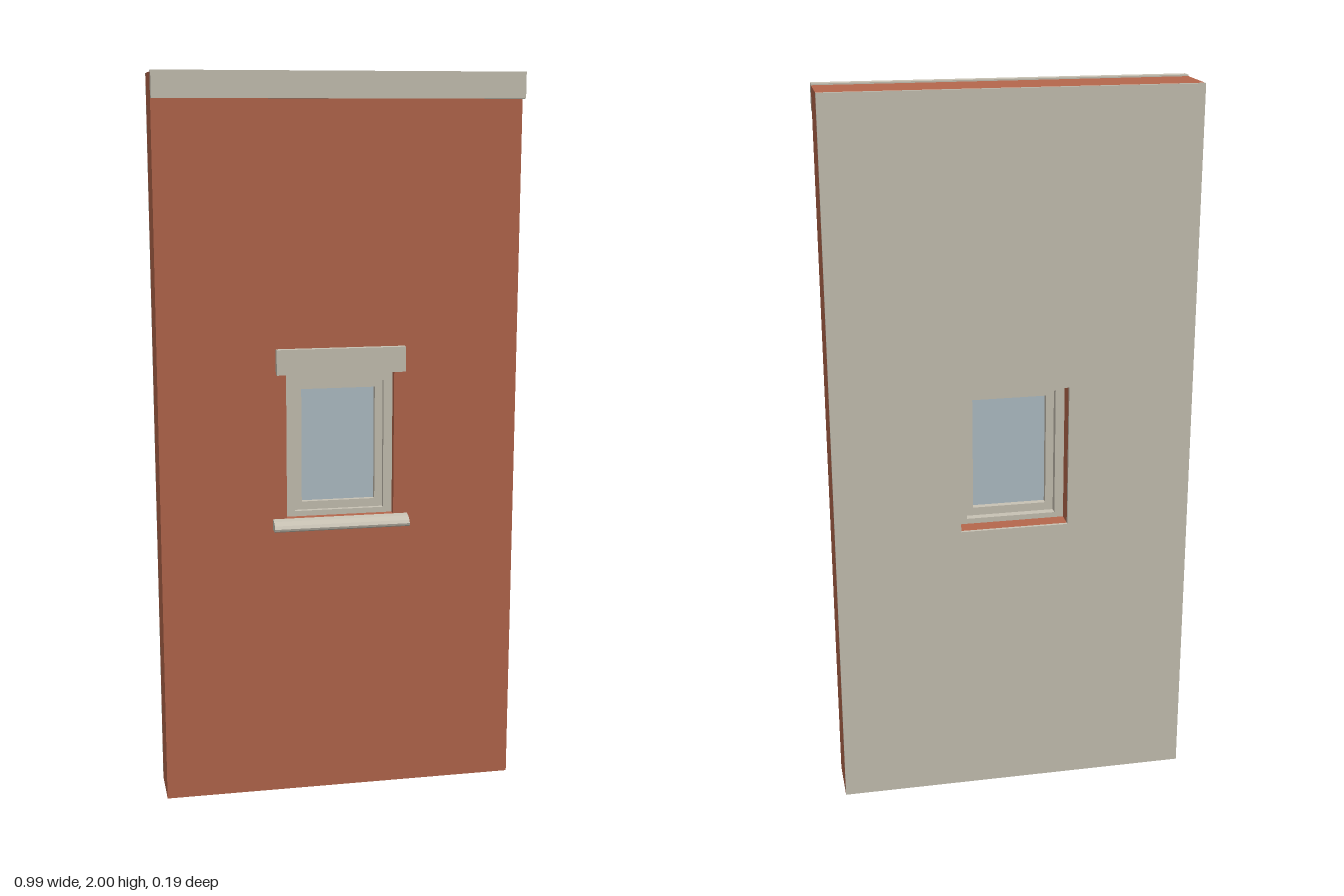
import * as THREE from 'three';

const material = (name, color) => {
  const m = new THREE.MeshStandardMaterial({ color });
  m.name = name;
  return m;
};

// Rectangular ring: outer and inner are [x0, y0, x1, y1], extruded from z0 to z1
function ring(outer, inner, z0, z1) {
  const trace = (path, [x0, y0, x1, y1]) =>
    path.moveTo(x0, y0).lineTo(x1, y0).lineTo(x1, y1).lineTo(x0, y1).closePath();
  const shape = new THREE.Shape();
  trace(shape, outer);
  const hole = new THREE.Path();
  trace(hole, inner);
  shape.holes.push(hole);
  return new THREE.ExtrudeGeometry(shape, { depth: z1 - z0, bevelEnabled: false }).translate(0, 0, z0);
}

function block(x0, y0, z0, x1, y1, z1) {
  return new THREE.BoxGeometry(x1 - x0, y1 - y0, z1 - z0)
    .translate((x0 + x1) / 2, (y0 + y1) / 2, (z0 + z1) / 2);
}

export function createModel() {
  const brick = material('brick', 0xb5674c);
  const stone = material('pale stone', 0xc8c2b4);
  const pane = material('pane blue', 0xb1c0c8);

  const group = new THREE.Group();
  group.name = 'wallWithWindow';
  const add = (name, geometry, mat) => {
    const mesh = new THREE.Mesh(geometry, mat);
    mesh.name = name;
    group.add(mesh);
  };

  const W = 0.497;
  const wall = [-W, 0, W, 1.996];
  const opening = [-0.15, 0.8, 0.15, 1.2];
  const sashOuter = [-0.125, 0.815, 0.125, 1.175];
  const glass = [-0.103, 0.838, 0.103, 1.155];

  // Wall layers
  add('brickWall', ring(wall, opening, -0.086, 0.055), brick);
  add('innerPlaster', ring(wall, opening, -0.095, -0.086), stone);

  // Facade trim
  add('topBand', block(-W, 1.93, 0.055, W, 2, 0.085), stone);
  add('lintel', block(-0.178, 1.203, 0.055, 0.178, 1.272, 0.074), stone);

  // Window sill with a rounded nose, extruded along x
  const profile = new THREE.Shape([
    [0.055, 0.77], [0.086, 0.77], [0.092, 0.774], [0.094, 0.78],
    [0.088, 0.788], [0.074, 0.797], [0.055, 0.8],
  ].map(([z, y]) => new THREE.Vector2(-z, y)));
  const sill = new THREE.ExtrudeGeometry(profile, { depth: 0.378, bevelEnabled: false })
    .translate(0, 0, -0.189)
    .rotateY(Math.PI / 2);
  add('windowSill', sill, stone);

  // Window set back in the opening
  add('windowFrame', ring(opening, sashOuter, -0.04, 0.035), stone);
  add('windowSash', ring(sashOuter, glass, -0.018, 0.022), stone);
  add('windowPane', block(glass[0], glass[1], 0.0, glass[2], glass[3], 0.008), pane);

  return group;
}
